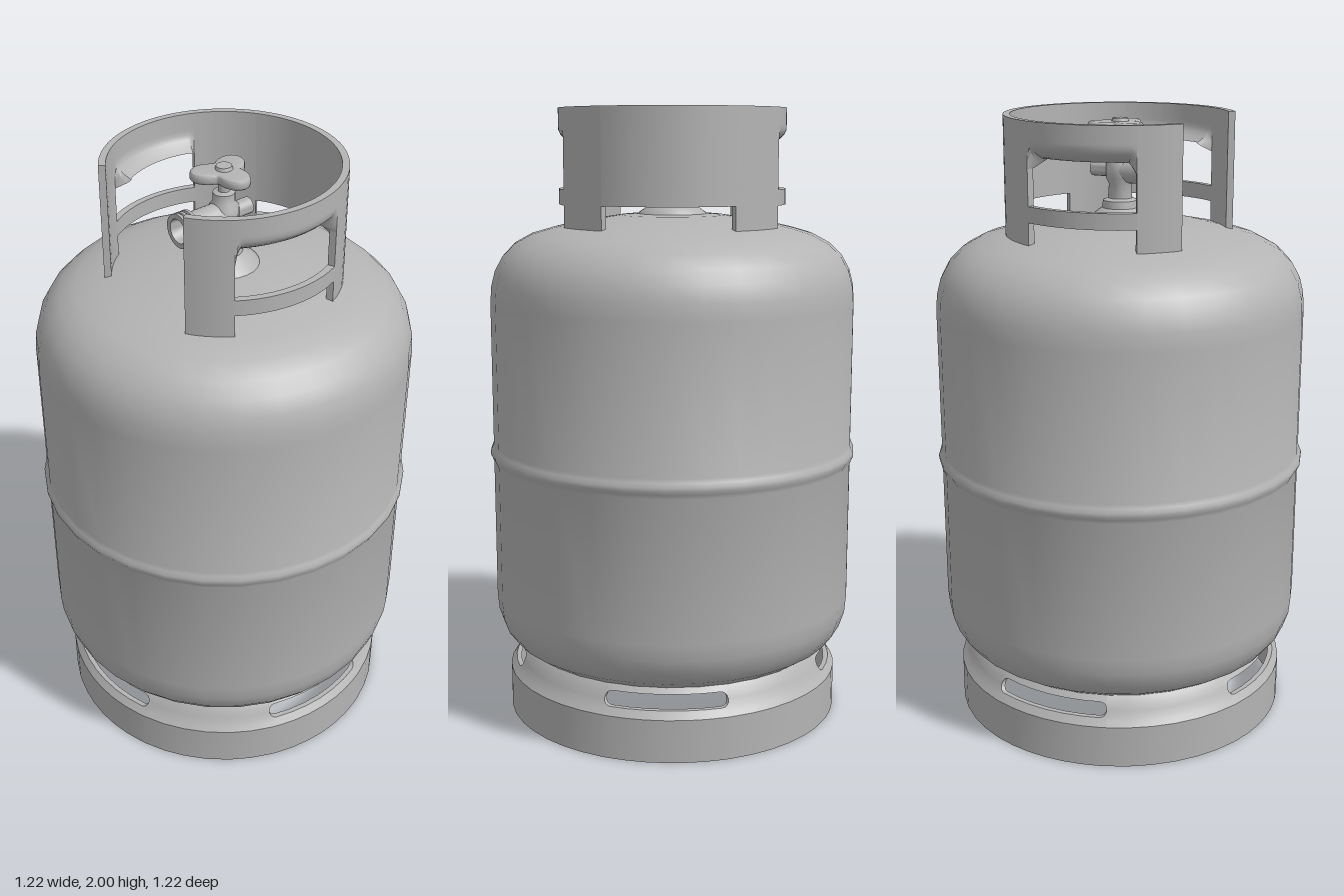
import * as THREE from 'three';
import { toCreasedNormals } from 'three/addons/utils/BufferGeometryUtils.js';

const steel = new THREE.MeshStandardMaterial({ color: 0xb4b4b4 });
steel.name = 'grey steel';

const DEG = Math.PI / 180;
const range = (a, b, n) => Array.from({ length: n + 1 }, (_, i) => a + (b - a) * i / n);

function add(parent, name, geo, x = 0, y = 0, z = 0) {
  const m = new THREE.Mesh(geo, steel);
  m.name = name;
  m.position.set(x, y, z);
  parent.add(m);
  return m;
}

const lathe = (pts, n) =>
  toCreasedNormals(new THREE.LatheGeometry(pts.map(p => new THREE.Vector2(...p)), n), 0.75);

// Curved sheet-metal wall: angles run from +z towards +x, edges and radius follow rules
function wall(angles, lo, hi, radius, thick, rows = 1) {
  const pos = [], idx = [], L = 2 * (rows + 1), last = (angles.length - 1) * L;
  for (const a of angles) {
    const y0 = lo(a), y1 = hi(a);
    for (let k = 0; k < L; k++) {
      const inner = k > rows;
      const y = y0 + (y1 - y0) * (inner ? L - 1 - k : k) / rows;
      const r = radius(y, a) - (inner ? thick : 0);
      pos.push(r * Math.sin(a), y, r * Math.cos(a));
    }
  }
  for (let i = 0; i < angles.length - 1; i++) {
    for (let k = 0; k < L; k++) {
      const a = i * L + k, b = i * L + (k + 1) % L;
      idx.push(a, a + L, b + L, a, b + L, b);
    }
  }
  for (let k = 0; k < rows; k++) { // end caps
    const o = k, p = k + 1, q = L - 2 - k, s = L - 1 - k;
    idx.push(o, p, q, o, q, s);
    idx.push(last + o, last + q, last + p, last + o, last + s, last + q);
  }
  const g = new THREE.BufferGeometry();
  g.setAttribute('position', new THREE.Float32BufferAttribute(pos, 3));
  g.setIndex(idx);
  return toCreasedNormals(g, 0.6);
}

// Foot ring with four rounded slots
function buildSkirt(group) {
  const R = 0.53, end = 0.0225, mid = 0.1865;
  const half = [0, 0.06, 0.12, 0.1775, 0.187, 0.193, 0.1975, 0.2, 0.27, 0.34];
  const arc = [-R * Math.PI / 4, ...half.slice(1).reverse().map(v => -v), ...half];
  const angles = [0, 1, 2, 3].flatMap(q => arc.map(s => q * Math.PI / 2 + s / R));
  angles.push(angles[0] + 2 * Math.PI);
  const slot = a => {
    const q = Math.PI / 2, d = Math.abs(a - Math.round(a / q) * q) * R;
    const e = Math.min(Math.max(0.2 - d, 0), end);
    return Math.sqrt(end * end - (end - e) ** 2);
  };
  const profile = [[0, 0.555], [0.14, 0.555], [0.165, 0.536], [0.21, 0.515], [0.24, 0.49]];
  const radius = y => {
    let i = 0;
    while (i < profile.length - 2 && y > profile[i + 1][0]) i++;
    const [[y0, r0], [y1, r1]] = [profile[i], profile[i + 1]];
    return r0 + (r1 - r0) * (y - y0) / (y1 - y0);
  };
  add(group, 'footRingBase', wall(angles, () => 0, () => 0.14, radius, 0.016));
  add(group, 'footRingShoulder', wall(angles, () => 0.14, a => mid - slot(a), radius, 0.016, 3));
  add(group, 'footRingTop', wall(angles, a => mid + slot(a), () => 0.238, radius, 0.016, 3));
}

// Guard collar: posts, back panel, carrying handles and lower bars
function buildCollar(group) {
  const r = 0.368, t = 0.022;
  const straight = () => r;
  const piece = (name, a0, a1, y0, y1) =>
    add(group, name, wall(range(a0 * DEG, a1 * DEG, Math.ceil((a1 - a0) / 5)), () => y0, () => y1, straight, t));
  piece('collarBack', 146, 214, 1.70, 2);
  for (const side of [1, -1]) {
    const sided = (name, a0, a1, y0, y1) =>
      side > 0 ? piece(name, a0, a1, y0, y1) : piece(name, 360 - a1, 360 - a0, y0, y1);
    sided('frontPost', 33.5, 56, 1.60, 2);
    sided('rearPost', 113, 146, 1.60, 2);
    sided('lowerBar', 56, 113, 1.695, 1.745);
    // handle edge rolls inward, with rounded corners at the posts
    const a0 = (side > 0 ? 56 : 247) * DEG, a1 = (side > 0 ? 113 : 304) * DEG;
    const fromEnd = a => Math.min(a - a0, a1 - a) / DEG;
    const lo = a => 1.888 - 0.03 * Math.max(0, 1 - fromEnd(a) / 4) ** 2;
    const roll = (y, a) => r - 20 * Math.max(0, 1.935 - y) ** 2 * Math.min(1, fromEnd(a) / 3);
    add(group, 'carryHandle', wall(range(a0, a1, 38), lo, () => 2, roll, t, 8));
  }
}

// Valve: neck, body, outlet, safety plug and three-lobed hand wheel
function buildValve(group) {
  add(group, 'valveNeck', lathe([
    [0.12, 1.64], [0.107, 1.67], [0.085, 1.685], [0.058, 1.705], [0.055, 1.728], [0.04, 1.735], [0, 1.735],
  ], 24));
  add(group, 'valveStem', lathe([
    [0.04, 1.72], [0.036, 1.78], [0.046, 1.80], [0.046, 1.855], [0.034, 1.87], [0.034, 1.90],
    [0.018, 1.905], [0.018, 1.95], [0, 1.95],
  ], 20));
  const outlet = add(group, 'outlet', lathe([
    [0, -0.095], [0.026, -0.095], [0.026, -0.03], [0.043, -0.02], [0.043, 0.125], [0.054, 0.128],
    [0.054, 0.138], [0.047, 0.14], [0.047, 0.145], [0.054, 0.147], [0.054, 0.157], [0.048, 0.159],
    [0.054, 0.163], [0.054, 0.173], [0.038, 0.173], [0.034, 0.12], [0, 0.12],
  ], 24), 0, 1.825, 0);
  outlet.rotation.x = Math.PI / 2;
  const plug = add(group, 'safetyPlug', new THREE.CylinderGeometry(0.024, 0.028, 0.06, 12), 0.04, 1.805, 0.025);
  plug.rotation.z = -Math.PI / 2;

  const shape = new THREE.Shape(range(0, 2 * Math.PI, 48).slice(0, -1).map(a => {
    const r = 0.067 + 0.026 * Math.cos(3 * a);
    return new THREE.Vector2(r * Math.cos(a), r * Math.sin(a));
  }));
  const wheel = new THREE.ExtrudeGeometry(shape, {
    depth: 0.014, bevelSize: 0.009, bevelThickness: 0.009, bevelSegments: 3,
  });
  wheel.rotateX(-Math.PI / 2);
  add(group, 'handWheel', toCreasedNormals(wheel, 0.7), 0, 1.952, 0);
  add(group, 'wheelNut', new THREE.CylinderGeometry(0.024, 0.028, 0.012, 16), 0, 1.979, 0);
}

export function createModel() {
  const model = new THREE.Group();
  model.name = 'gasCylinder';

  // Tank with dished ends and a raised weld band
  add(model, 'tank', lathe([
    [0, 0.165], [0.2, 0.172], [0.36, 0.187], [0.45, 0.207], [0.5, 0.225], [0.545, 0.255], [0.575, 0.295],
    [0.592, 0.345], [0.597, 0.4], [0.597, 0.855], [0.602, 0.868], [0.608, 0.88], [0.608, 0.892],
    [0.602, 0.904], [0.597, 0.917], [0.597, 1.38], [0.593, 1.435], [0.58, 1.485], [0.555, 1.53],
    [0.515, 1.57], [0.46, 1.6], [0.39, 1.62], [0.3, 1.64], [0.17, 1.66], [0, 1.67],
  ], 32));

  const skirt = new THREE.Group();
  skirt.name = 'footRing';
  buildSkirt(skirt);
  const collar = new THREE.Group();
  collar.name = 'guardCollar';
  buildCollar(collar);
  const valve = new THREE.Group();
  valve.name = 'valve';
  buildValve(valve);
  model.add(skirt, collar, valve);
  return model;
}
